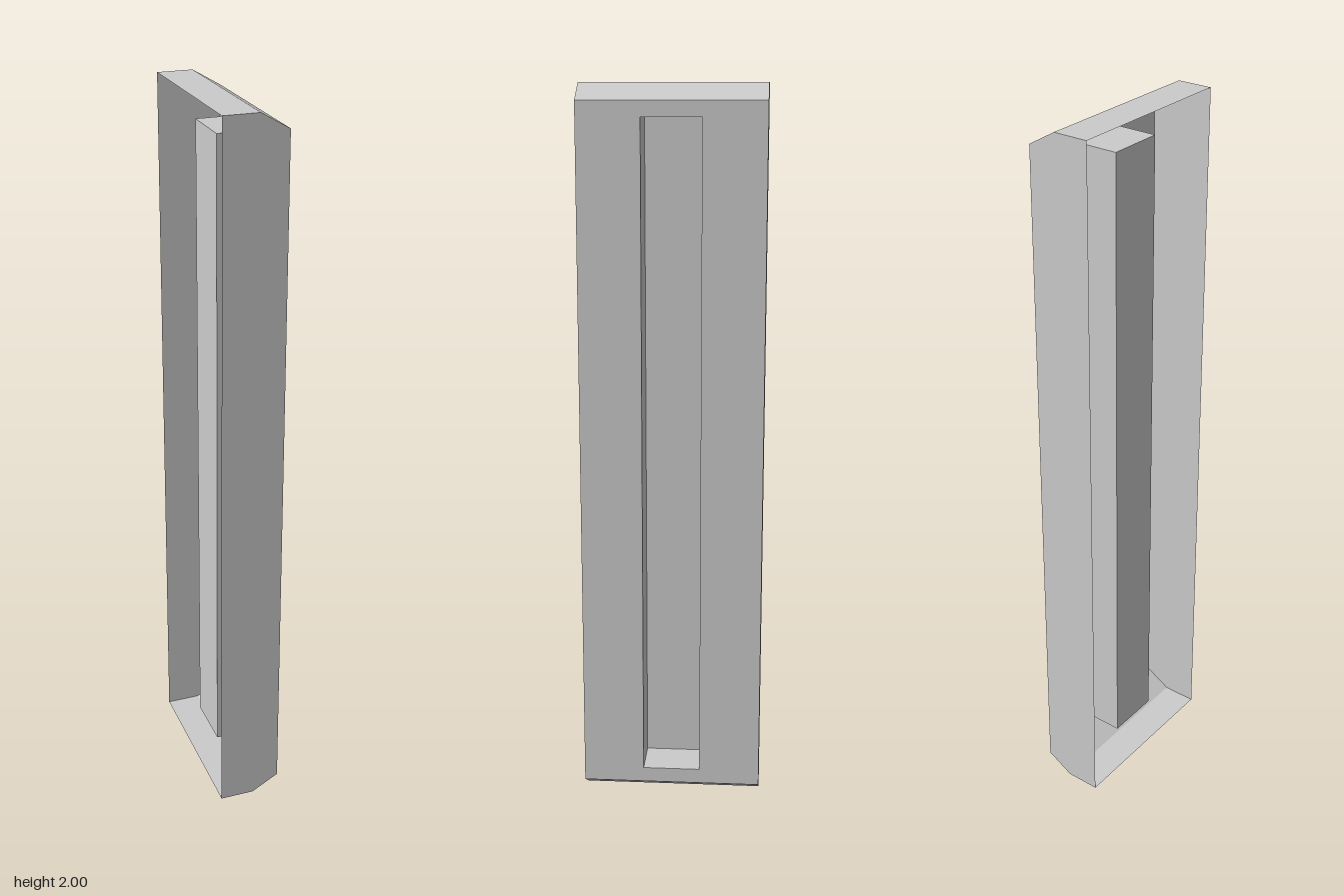
import * as THREE from 'three';

const BACK = -0.087, BEND = 0.01, FRONT = 0.086; // x stations
const H = 1, HC = 0.956, W = 0.25;               // half height, half height of front face, half width
const SLOT_H = 0.914, SLOT_W = 0.08, SLOT_BACK = -0.04;

const material = new THREE.MeshStandardMaterial({ color: 0xcccccc, side: THREE.DoubleSide, flatShading: true });

// Sheet of flat quads between two matching rows of points
function sheet(rowA, rowB) {
  const pos = [];
  for (let i = 0; i < rowA.length - 1; i++) {
    const [a, b, c, d] = [rowA[i], rowA[i + 1], rowB[i + 1], rowB[i]];
    pos.push(...a, ...b, ...c, ...a, ...c, ...d);
  }
  const g = new THREE.BufferGeometry();
  g.setAttribute('position', new THREE.Float32BufferAttribute(pos, 3));
  g.computeVertexNormals();
  return g;
}

const rectangle = (w, h) => [[-w, -h], [w, -h], [w, h], [-w, h]].map(p => new THREE.Vector2(...p));

export function createModel() {
  const model = new THREE.Group();
  const body = new THREE.Group();
  body.name = 'recessedPanel';
  body.position.y = H;
  model.add(body);

  const add = (name, geometry) => {
    const mesh = new THREE.Mesh(geometry, material);
    mesh.name = name;
    body.add(mesh);
  };

  // Face plate with the long slot
  const face = new THREE.Shape(rectangle(W, HC));
  face.holes.push(new THREE.Path(rectangle(SLOT_W, SLOT_H)));
  add('facePlate', new THREE.ShapeGeometry(face).rotateY(Math.PI / 2).translate(FRONT, 0, 0));

  // Side walls and bevelled end caps, thin sheets left open at the back
  const profile = new THREE.Shape([
    [BACK, -H], [BEND, -H], [FRONT, -HC], [FRONT, HC], [BEND, H], [BACK, H],
  ].map(p => new THREE.Vector2(...p)));
  const capRow = z => [[BACK, H, z], [BEND, H, z], [FRONT, HC, z]];
  for (const [side, end, turn] of [['frontWall', 'topCap', 0], ['backWall', 'bottomCap', Math.PI]]) {
    add(side, new THREE.ShapeGeometry(profile).translate(0, 0, W).rotateX(turn));
    add(end, sheet(capRow(W), capRow(-W)).rotateX(turn));
  }

  // Pocket behind the slot: four walls and a closed back
  const ring = x => [[1, -1], [1, 1], [-1, 1], [-1, -1], [1, -1]].map(([y, z]) => [x, y * SLOT_H, z * SLOT_W]);
  add('slotWalls', sheet(ring(FRONT), ring(SLOT_BACK)));
  add('slotBack', new THREE.PlaneGeometry(2 * SLOT_W, 2 * SLOT_H).rotateY(Math.PI / 2).translate(SLOT_BACK, 0, 0));

  return model;
}
